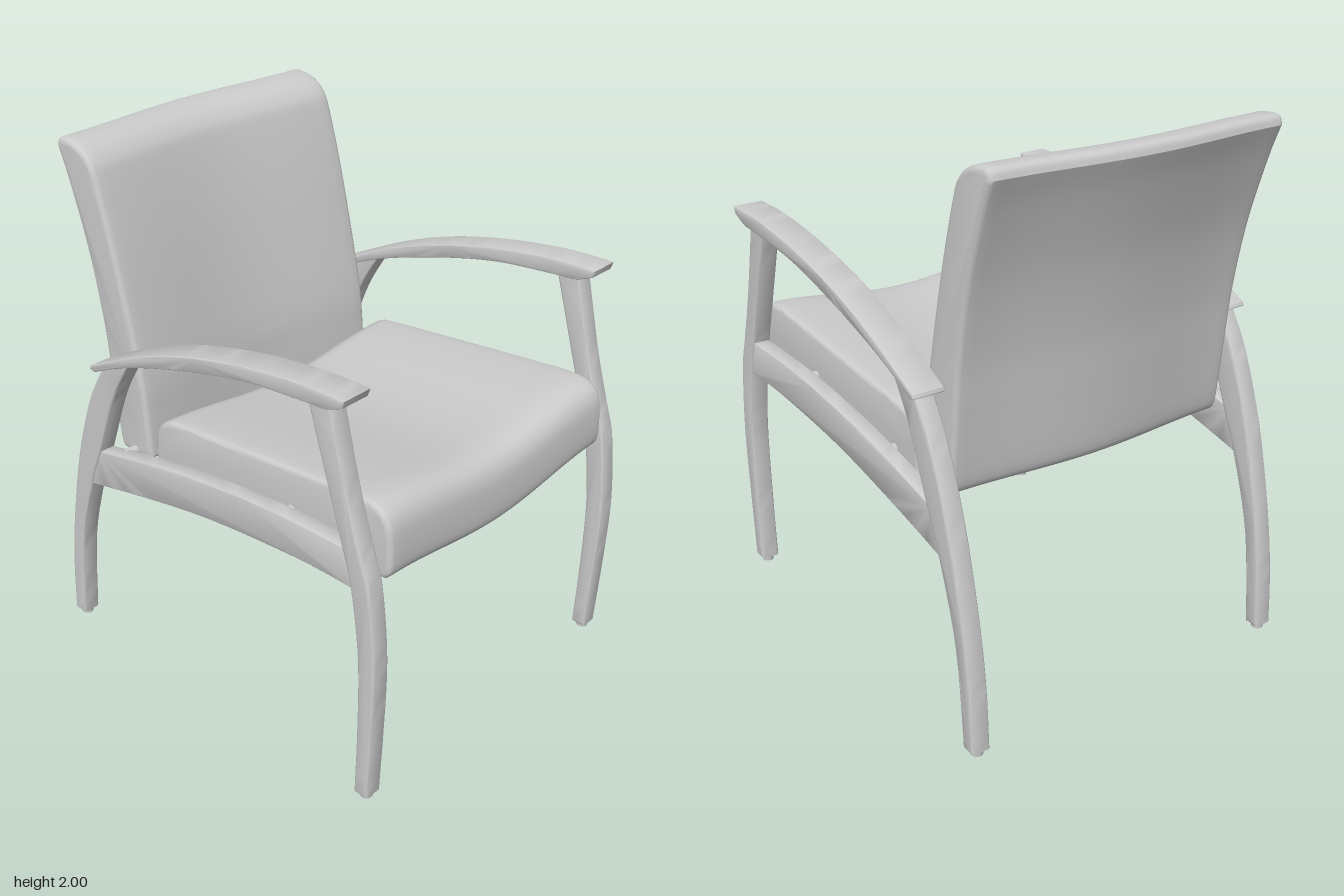
import * as THREE from 'three';
import { toCreasedNormals } from 'three/addons/utils/BufferGeometryUtils.js';

const material = new THREE.MeshStandardMaterial({ color: 0xcccccc });

// Closed side outline from smooth edges of [z, y] points; edges meet at corners.
function outline(edges, divisions = 5) {
  const points = [];
  for (const edge of edges) {
    const curve = new THREE.SplineCurve(edge.map(([z, y]) => new THREE.Vector2(-z, y)));
    const count = edge.length > 2 ? (edge.length - 1) * divisions : 1;
    points.push(...curve.getPoints(count).slice(0, -1));
  }
  return new THREE.Shape(points);
}

// Side outline extruded across x from x0 to x1 with rounded rims, then optionally warped.
function slab(edges, x0, x1, bevel, { steps = 1, warp = null, crease = 0.6 } = {}) {
  const geometry = new THREE.ExtrudeGeometry(outline(edges), {
    depth: x1 - x0 - 2 * bevel, steps,
    bevelEnabled: true, bevelThickness: bevel, bevelSize: bevel, bevelOffset: -bevel, bevelSegments: 4,
  });
  geometry.rotateY(Math.PI / 2).translate(x0 + bevel, 0, 0);
  if (warp) {
    const position = geometry.attributes.position;
    const v = new THREE.Vector3();
    for (let i = 0; i < position.count; i++) {
      warp(v.fromBufferAttribute(position, i));
      position.setXYZ(i, v.x, v.y, v.z);
    }
  }
  return toCreasedNormals(geometry, crease);
}

function add(parent, name, geometry) {
  const mesh = new THREE.Mesh(geometry, material);
  mesh.name = name;
  parent.add(mesh);
  return mesh;
}

const HALF = 0.59;
// 1 at the middle of the width, easing to 0 at the sides
const hollow = (x) => 0.5 + 0.5 * Math.cos(Math.PI * Math.min(1, Math.abs(x) / HALF));

const seatEdges = [
  [[0.76, 0.875], [0.785, 0.91], [0.787, 1.0], [0.775, 1.08], [0.735, 1.128], [0.66, 1.143],
    [0.5, 1.132], [0.15, 1.1], [-0.2, 1.066], [-0.28, 1.05], [-0.33, 1.005], [-0.345, 0.93], [-0.345, 0.81]],
  [[-0.345, 0.81], [-0.325, 0.8]],
  [[-0.325, 0.8], [0.76, 0.905 - 0.03]],
];

const backEdges = [
  [[-0.375, 0.865], [-0.385, 1.02], [-0.407, 1.2], [-0.495, 1.6], [-0.57, 1.87],
    [-0.605, 1.945], [-0.66, 1.987], [-0.72, 2.0], [-0.762, 1.995], [-0.775, 1.965]],
  [[-0.775, 1.965], [-0.725, 1.84], [-0.65, 1.6], [-0.6, 1.35], [-0.577, 1.15], [-0.55, 0.9], [-0.53, 0.85]],
  [[-0.53, 0.85], [-0.395, 0.845]],
  [[-0.395, 0.845], [-0.375, 0.865]],
];

const frontLegEdges = [
  [[0.787, 0.02], [0.803, 0.3], [0.812, 0.6], [0.787, 0.87], [0.75, 1.0], [0.69, 1.2], [0.617, 1.505]],
  [[0.617, 1.505], [0.52, 1.505]],
  [[0.52, 1.505], [0.61, 1.2], [0.67, 1.0], [0.707, 0.86], [0.738, 0.6], [0.738, 0.3], [0.728, 0.02]],
  [[0.728, 0.02], [0.787, 0.02]],
];

const rearLegEdges = [
  [[-0.75, 0.02], [-0.71, 0.39], [-0.62, 0.69], [-0.545, 0.87], [-0.44, 1.13], [-0.325, 1.315]],
  [[-0.325, 1.315], [-0.49, 1.235]],
  [[-0.49, 1.235], [-0.585, 1.07], [-0.68, 0.81], [-0.755, 0.495], [-0.793, 0.25], [-0.808, 0.02]],
  [[-0.808, 0.02], [-0.75, 0.02]],
];

const railEdges = [
  [[0.69, 1.005], [0.35, 1.0], [-0.02, 0.963], [-0.3, 0.915], [-0.58, 0.855]],
  [[-0.58, 0.855], [-0.64, 0.688]],
  [[-0.64, 0.688], [-0.335, 0.757], [0.035, 0.825], [0.46, 0.865], [0.73, 0.867]],
  [[0.73, 0.867], [0.69, 1.005]],
];

const armEdges = [
  [[0.7, 1.55], [0.51, 1.546], [0.25, 1.512], [-0.02, 1.45], [-0.26, 1.365], [-0.525, 1.24]],
  [[-0.525, 1.24], [-0.53, 1.225], [-0.505, 1.22]],
  [[-0.505, 1.22], [-0.31, 1.305], [-0.02, 1.395], [0.26, 1.46], [0.53, 1.488], [0.62, 1.495], [0.69, 1.522]],
  [[0.69, 1.522], [0.7, 1.55]],
];

export function createModel() {
  const chair = new THREE.Group();
  chair.name = 'armchair';

  // Upholstery: seat dips and back hollows along the middle
  add(chair, 'seat', slab(seatEdges, -HALF, HALF, 0.02, {
    steps: 32, warp: (v) => { v.y -= 0.052 * hollow(v.x); },
  }));
  add(chair, 'backrest', slab(backEdges, -HALF, HALF, 0.02, {
    steps: 32, warp: (v) => { v.z -= 0.036 * hollow(v.x); },
  }));

  // Side frames, one for each side
  for (const [side, inner, outer] of [['left', 0.617, 0.69], ['right', -0.69, -0.617]]) {
    const frame = new THREE.Group();
    frame.name = side + 'Frame';
    chair.add(frame);
    const sign = Math.sign(inner);
    const middle = (inner + outer) / 2;

    add(frame, 'frontLeg', slab(frontLegEdges, inner, outer, 0.01));
    add(frame, 'rearLeg', slab(rearLegEdges, inner, outer, 0.01));
    add(frame, 'sideRail', slab(railEdges, inner + 0.006, outer - 0.006, 0.004));
    add(frame, 'armrest', slab(armEdges, middle - 0.06, middle + 0.06, 0.005));

    // Glides under the legs
    for (const [name, z] of [['frontGlide', 0.757], ['rearGlide', -0.779]]) {
      add(frame, name, new THREE.CylinderGeometry(0.024, 0.022, 0.03, 20)).position.set(middle, 0.015, z);
    }

    // Spacers joining the rail to the cushions
    for (const [name, y, z] of [['frontSpacer', 0.96, 0.35], ['rearSpacer', 0.885, -0.2], ['backSpacer', 0.865, -0.46]]) {
      const spacer = add(frame, name, new THREE.CylinderGeometry(0.02, 0.02, 0.09, 20));
      spacer.rotation.z = Math.PI / 2;
      spacer.position.set(sign * 0.6, y, z);
    }
  }
  return chair;
}
